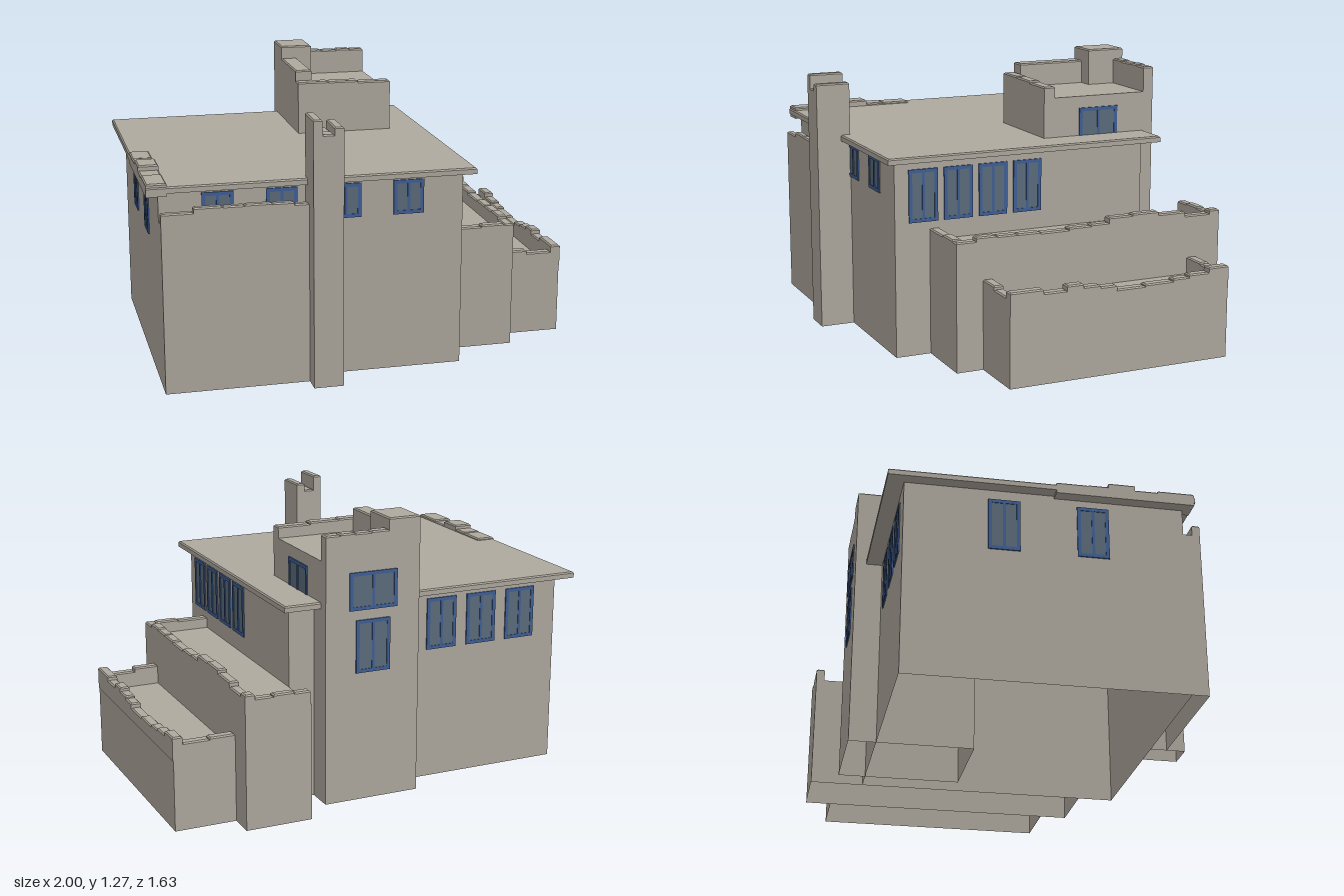
import * as THREE from 'three';

export function createModel() {
  const model = new THREE.Group();
  model.name = 'adobeHouse';
  const stone = new THREE.MeshStandardMaterial({ color: 0xafa99e, side: THREE.DoubleSide });
  const frameBlue = new THREE.MeshStandardMaterial({ color: 0x3f5f96 });
  const glass = new THREE.MeshStandardMaterial({ color: 0x5c6c7b });

  function add(name, geometry, material, parent = model) {
    const mesh = new THREE.Mesh(geometry, material);
    mesh.name = name;
    parent.add(mesh);
    return mesh;
  }

  // Hollow wall volume standing on the ground, open underneath
  function volume(name, x0, x1, top, z0, z1) {
    const g = new THREE.BoxGeometry(x1 - x0, top, z1 - z0);
    const index = Array.from(g.index.array);
    index.splice(18, 6);
    g.setIndex(index);
    g.clearGroups();
    g.translate((x0 + x1) / 2, top / 2, (z0 + z1) / 2);
    add(name, g, stone);
  }

  // Block with a small chamfer around its top
  function block(name, x0, x1, y0, y1, z0, z1, bevel = 0.006) {
    const w = x1 - x0, h = y1 - y0, d = z1 - z0;
    const g = new THREE.BoxGeometry(w, h, d, 1, 2, 1);
    const p = g.attributes.position;
    for (let i = 0; i < p.count; i++) {
      if (Math.abs(p.getY(i)) < 1e-6) p.setY(i, h / 2 - bevel);
      else if (p.getY(i) > 0) {
        p.setX(i, p.getX(i) - Math.sign(p.getX(i)) * bevel);
        p.setZ(i, p.getZ(i) - Math.sign(p.getZ(i)) * bevel);
      }
    }
    const flat = g.toNonIndexed();
    flat.computeVertexNormals();
    flat.translate((x0 + x1) / 2, (y0 + y1) / 2, (z0 + z1) / 2);
    add(name, flat, stone);
  }

  // Rows of blocks with varying heights; cuts are [start, top] and the row stops at end
  function rowX(name, cuts, end, y0, z0, z1) {
    cuts.forEach(([x, top], i) => block(name, x, i + 1 < cuts.length ? cuts[i + 1][0] : end, y0, top, z0, z1));
  }
  function rowZ(name, cuts, end, y0, x0, x1) {
    cuts.forEach(([z, top], i) => block(name, x0, x1, y0, top, z, i + 1 < cuts.length ? cuts[i + 1][0] : end));
  }

  // Window: thin frame with two openings over a thin pane
  function windowAt(x, y, z, turn, w, h) {
    const group = new THREE.Group();
    group.name = 'window';
    const f = 0.016, m = 0.006;
    const rect = (C, x0, y0, x1, y1) => new C([[x0, y0], [x1, y0], [x1, y1], [x0, y1]].map(q => new THREE.Vector2(...q)));
    const shape = rect(THREE.Shape, -w / 2, -h / 2, w / 2, h / 2);
    shape.holes.push(rect(THREE.Path, -w / 2 + f, -h / 2 + f, -m, h / 2 - f));
    shape.holes.push(rect(THREE.Path, m, -h / 2 + f, w / 2 - f, h / 2 - f));
    add('windowFrame', new THREE.ExtrudeGeometry(shape, { depth: 0.006, bevelEnabled: false }), frameBlue, group);
    add('windowPane', new THREE.BoxGeometry(w - f, h - f, 0.003), glass, group).position.z = 0.0015;
    group.position.set(x, y, z);
    group.rotation.y = turn;
    model.add(group);
  }

  // Main house and roof
  volume('mainHouse', -0.945, 0.41, 0.89, -0.575, 0.655);
  block('roofSlab', -1, 0.46, 0.892, 0.92, -0.65, 0.70);
  rowZ('roofEdgeBlock', [[0.08, 0.93], [0.22, 0.932], [0.31, 0.95], [0.43, 0.928], [0.53, 0.935]], 0.695, 0.878, -1, -0.91);

  // Front ledge with its low parapet
  volume('frontLedge', -0.945, -0.305, 0.76, 0.655, 0.73);
  rowX('frontLedgeBlock', [[-0.945, 0.81], [-0.805, 0.83], [-0.68, 0.828], [-0.585, 0.83], [-0.465, 0.828], [-0.37, 0.818]], -0.305, 0.76, 0.695, 0.73);

  // Chimney
  volume('chimney', -0.305, -0.172, 1.09, 0.655, 0.815);
  block('chimneyBlock', -0.305, -0.265, 1.09, 1.20, 0.655, 0.815);
  block('chimneyBlock', -0.265, -0.213, 1.09, 1.13, 0.655, 0.75);
  block('chimneyBlock', -0.265, -0.213, 1.09, 1.135, 0.75, 0.815);
  block('chimneyBlock', -0.213, -0.172, 1.09, 1.165, 0.655, 0.815);

  // Rear tower with parapet
  volume('tower', -0.163, 0.29, 1.105, -0.70, -0.13);
  rowX('towerFrontBlock', [[-0.163, 1.167], [-0.015, 1.165], [0.13, 1.158]], 0.29, 1.105, -0.185, -0.13);
  block('towerSideBlock', -0.163, -0.085, 1.105, 1.215, -0.515, -0.185);
  block('towerCornerBlock', -0.163, -0.012, 1.105, 1.275, -0.70, -0.515);
  rowX('towerBackBlock', [[-0.012, 1.225], [0.07, 1.222], [0.15, 1.225], [0.22, 1.222]], 0.29, 1.105, -0.70, -0.65);

  // Upper terrace
  volume('upperTerrace', 0.41, 0.715, 0.53, -0.82, 0.49);
  rowZ('upperTerraceBlock', [[-0.82, 0.61], [-0.77, 0.595], [-0.64, 0.615], [-0.5, 0.63], [-0.37, 0.625], [-0.25, 0.602],
    [-0.16, 0.598], [-0.05, 0.59], [0.09, 0.595], [0.2, 0.596], [0.3, 0.6], [0.395, 0.585]], 0.49, 0.53, 0.67, 0.715);
  rowX('upperTerraceFrontBlock', [[0.41, 0.582], [0.56, 0.588]], 0.67, 0.53, 0.445, 0.49);
  rowX('upperTerraceBackBlock', [[0.415, 0.59], [0.49, 0.595], [0.585, 0.59]], 0.67, 0.53, -0.82, -0.78);

  // Lower terrace
  volume('lowerTerrace', 0.715, 0.995, 0.32, -0.70, 0.365);
  rowZ('lowerTerraceBlock', [[-0.7, 0.425], [-0.6, 0.405], [-0.5, 0.395], [-0.42, 0.386], [-0.28, 0.38], [-0.14, 0.4],
    [-0.06, 0.41], [0.02, 0.425], [0.1, 0.405], [0.21, 0.423]], 0.365, 0.32, 0.952, 0.998);
  rowX('lowerTerraceFrontBlock', [[0.715, 0.41], [0.83, 0.395]], 0.952, 0.32, 0.32, 0.365);
  rowX('lowerTerraceBackBlock', [[0.715, 0.4], [0.83, 0.395]], 0.952, 0.32, -0.70, -0.655);

  // Windows on the four house walls
  for (const x of [-0.69, -0.41, -0.125, 0.16]) windowAt(x, 0.798, 0.655, 0, 0.138, 0.155);
  for (const z of [0.52, 0.352, 0.183, 0.013]) windowAt(0.41, 0.735, z, Math.PI / 2, 0.138, 0.24);
  for (const x of [-0.345, -0.55, -0.755]) windowAt(x, 0.735, -0.575, Math.PI, 0.15, 0.24);
  for (const z of [-0.14, 0.25]) windowAt(-0.945, 0.725, z, -Math.PI / 2, 0.14, 0.24);

  // Tower windows
  windowAt(0.29, 0.965, -0.41, Math.PI / 2, 0.198, 0.17);
  windowAt(0.063, 0.965, -0.70, Math.PI, 0.23, 0.17);
  windowAt(0.063, 0.715, -0.70, Math.PI, 0.165, 0.24);

  return model;
}
